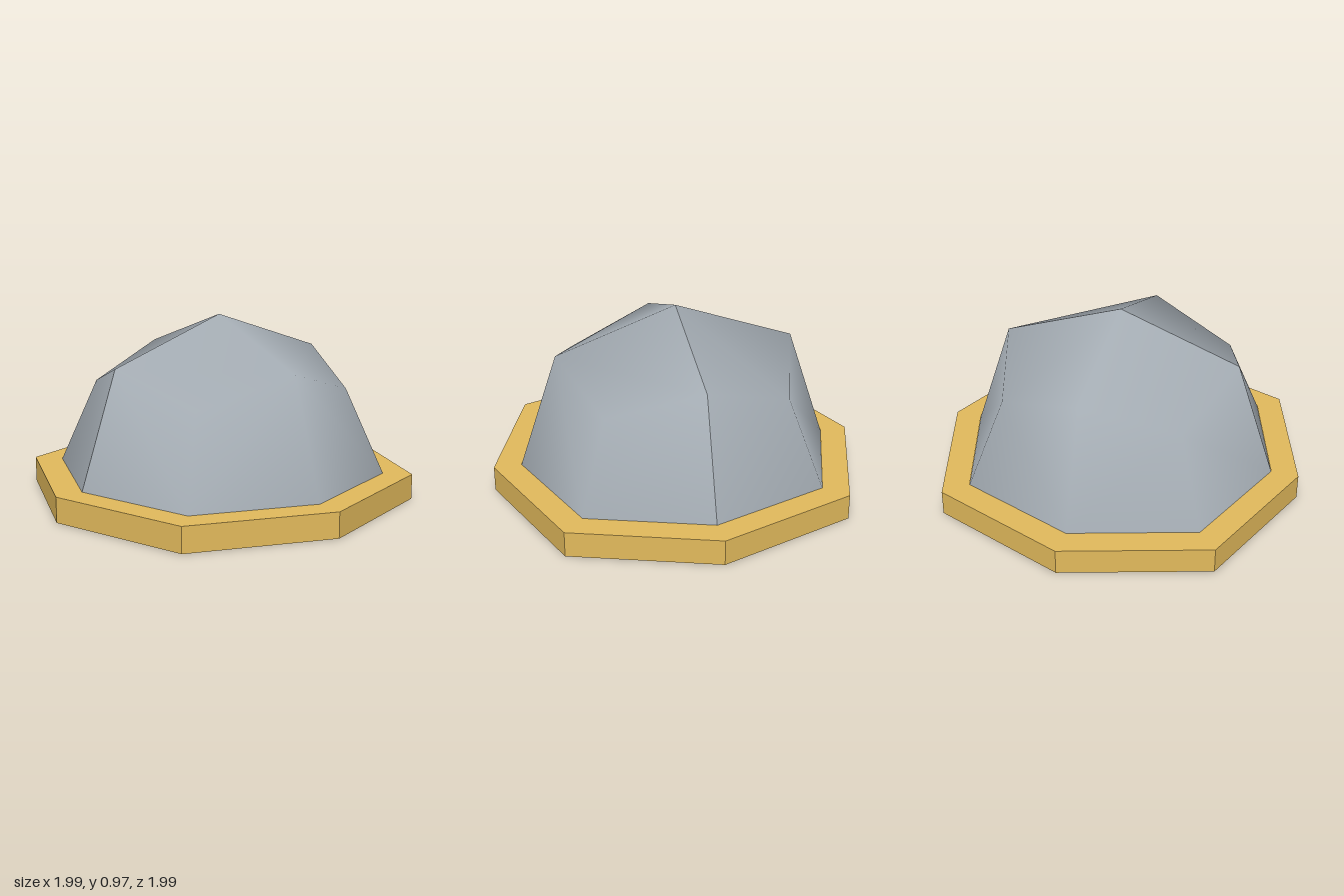
import * as THREE from 'three';

const shellGrey = new THREE.MeshStandardMaterial({ color: 0xa4acb3, side: THREE.DoubleSide });
shellGrey.name = 'shellGrey';
const rimGold = new THREE.MeshStandardMaterial({ color: 0xe2ba5c, side: THREE.DoubleSide });
rimGold.name = 'rimGold';

const BULGE = 1.045; // extra reach of the diagonal corners

// Triangles of one quarter: a and c are its straight corners, d the diagonal one;
// B marks the base ring, M the shoulder ring. The two halves fold differently.
const FOLDS = {
  left: {
    wall: ['aB dB aM', 'dB dM aM', 'dB cB cM', 'dB cM dM'],
    crown: ['aM cM top', 'aM dM cM']
  },
  right: {
    wall: ['aB dB dM', 'aB dM aM', 'dB cB dM', 'cB cM dM'],
    crown: ['aM dM top', 'dM cM top']
  }
};

// Half a dome facing outwards, or inwards when inner is true.
// Group 0 is the wall, group 1 the crown.
function halfDome(side, radius, bottom, height, inner) {
  const sign = side === 'left' ? 1 : -1;
  const positions = [];
  const ring = (straight, diagonal, yStraight, yDiagonal) => {
    for (let k = 0; k < 5; k++) {
      const r = radius * (k % 2 ? diagonal : straight);
      const y = bottom + height * (k % 2 ? yDiagonal : yStraight);
      const angle = k * Math.PI / 4;
      positions.push(sign * r * Math.sin(angle), y, r * Math.cos(angle));
    }
  };
  ring(1, BULGE, 0, 0);
  ring(0.756, 0.8, 0.73, 0.545);
  positions.push(0, bottom + height, 0);

  const index = [];
  const geometry = new THREE.BufferGeometry();
  ['wall', 'crown'].forEach((zone, material) => {
    const start = index.length;
    for (const first of [0, 2]) {
      const at = { top: 10 };
      ['a', 'd', 'c'].forEach((corner, i) => {
        at[corner + 'B'] = first + i;
        at[corner + 'M'] = 5 + first + i;
      });
      for (const triangle of FOLDS[side][zone]) {
        const corners = triangle.split(' ').map((name) => at[name]);
        if ((sign < 0) !== inner) corners.reverse();
        index.push(...corners);
      }
    }
    geometry.addGroup(start, index.length - start, material);
  });
  geometry.setAttribute('position', new THREE.Float32BufferAttribute(positions, 3));
  geometry.setIndex(index);
  geometry.computeVertexNormals();
  return geometry;
}

// Octagonal rim: upright hole wall, underside, outer wall and top
function rimGeometry() {
  const profile = [[0.76, 0.087], [0.76, 0], [0.997, 0], [0.997, 0.135], [0.85, 0.135]]
    .map(([r, y]) => new THREE.Vector2(r, y));
  const geometry = new THREE.LatheGeometry(profile, 8);
  const p = geometry.attributes.position;
  for (let i = 0; i < p.count; i++) {
    // Push the diagonal corners out a little
    if (Math.floor(i / profile.length) % 2) {
      p.setX(i, p.getX(i) * BULGE);
      p.setZ(i, p.getZ(i) * BULGE);
    }
  }
  const flat = geometry.toNonIndexed();
  flat.computeVertexNormals();
  return flat;
}

export function createModel() {
  const model = new THREE.Group();
  model.name = 'dome';

  function add(name, geometry, material) {
    const mesh = new THREE.Mesh(geometry, material);
    mesh.name = name;
    model.add(mesh);
  }

  add('baseRim', rimGeometry(), rimGold);

  // Thick dome: grey outer skin, and a smaller inner skin with a gold crown
  for (const side of ['left', 'right']) {
    add(side + 'Shell', halfDome(side, 0.85, 0.132, 0.838, false), [shellGrey, shellGrey]);
    add(side + 'Lining', halfDome(side, 0.76, 0.087, 0.775, true), [shellGrey, rimGold]);
  }

  return model;
}
